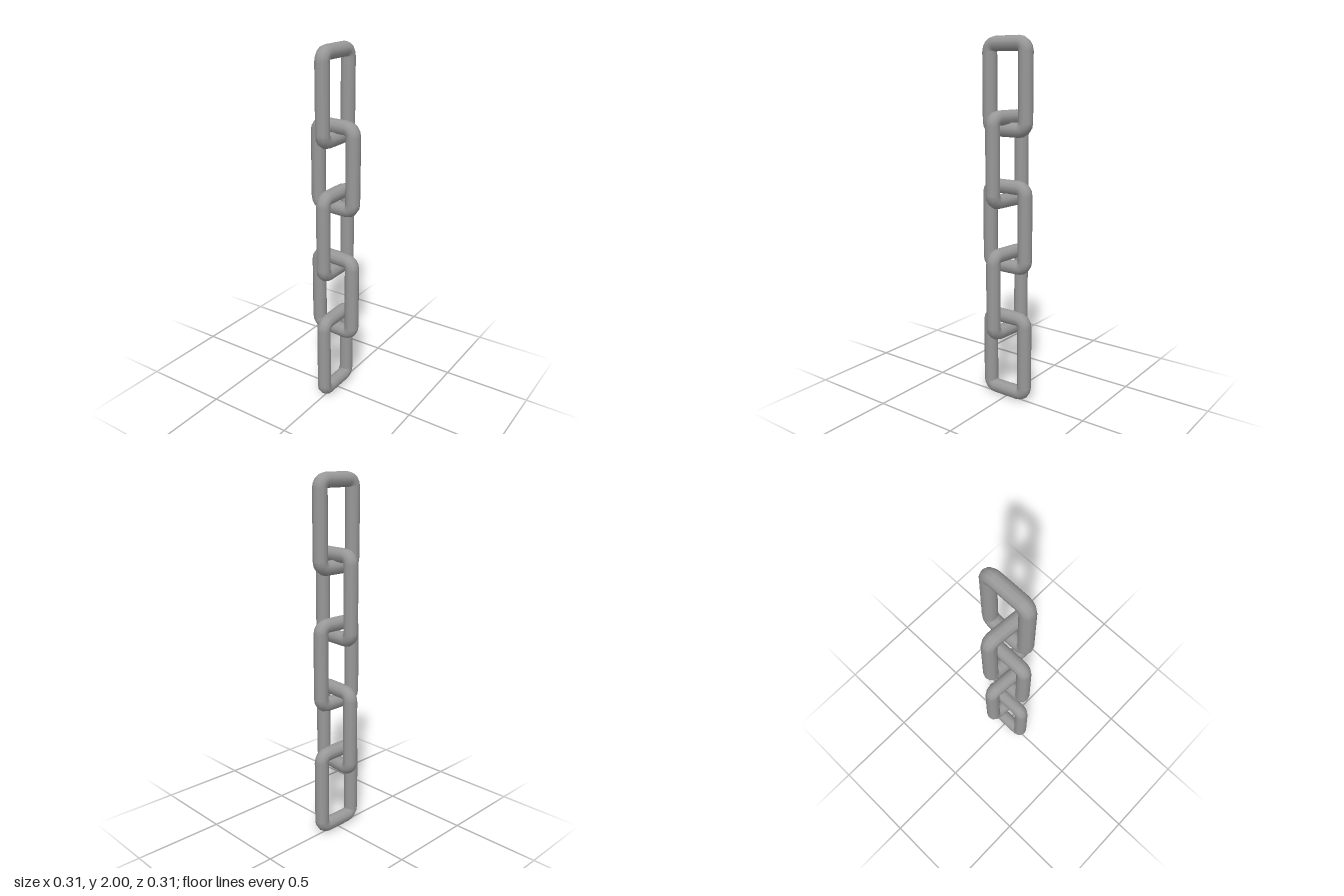
import * as THREE from 'three';

const ROD = 0.0393;        // rod radius
const BEND = 0.04;         // corner radius of the rod's centre line
const HALF_WIDTH = 0.155;  // outer half sizes of one link
const HALF_HEIGHT = 0.2595;
const SIDES = 10;
const CORNER_STEPS = 4;

// Round rod swept around a rounded rectangle in the zy plane
function linkGeometry() {
  const cz = HALF_WIDTH - ROD - BEND;
  const cy = HALF_HEIGHT - ROD - BEND;
  const corners = [[1, 1], [-1, 1], [-1, -1], [1, -1]];
  const positions = [], normals = [], indices = [];

  corners.forEach(([sz, sy], corner) => {
    for (let s = 0; s <= CORNER_STEPS; s++) {
      const t = (corner + s / CORNER_STEPS) * Math.PI / 2;
      for (let k = 0; k < SIDES; k++) {
        const a = k / SIDES * Math.PI * 2;
        const reach = BEND + ROD * Math.cos(a);
        positions.push(
          ROD * Math.sin(a),
          sy * cy + reach * Math.sin(t),
          sz * cz + reach * Math.cos(t));
        normals.push(Math.sin(a), Math.cos(a) * Math.sin(t), Math.cos(a) * Math.cos(t));
      }
    }
  });

  // Join each ring to the next, closing the loop
  const rings = corners.length * (CORNER_STEPS + 1);
  for (let i = 0; i < rings; i++) {
    const j = (i + 1) % rings;
    for (let k = 0; k < SIDES; k++) {
      const m = (k + 1) % SIDES;
      const a = i * SIDES + k, b = i * SIDES + m;
      const c = j * SIDES + m, d = j * SIDES + k;
      indices.push(a, b, c, a, c, d);
    }
  }

  const geometry = new THREE.BufferGeometry();
  geometry.setAttribute('position', new THREE.Float32BufferAttribute(positions, 3));
  geometry.setAttribute('normal', new THREE.Float32BufferAttribute(normals, 3));
  geometry.setIndex(indices);
  return geometry;
}

export function createModel() {
  const chain = new THREE.Group();
  chain.name = 'chain';
  const geometry = linkGeometry();
  const material = new THREE.MeshStandardMaterial({ color: 0x999999 });

  // Five interlocked links, every second one turned crosswise and slightly askew
  const centreHeights = [HALF_HEIGHT, 0.627, 0.996, 1.364, 2 - HALF_HEIGHT];
  centreHeights.forEach((y, i) => {
    const link = new THREE.Mesh(geometry, material);
    link.name = `link${i + 1}`;
    link.position.y = y;
    if (i % 2) link.rotation.y = THREE.MathUtils.degToRad(85);
    chain.add(link);
  });
  return chain;
}
